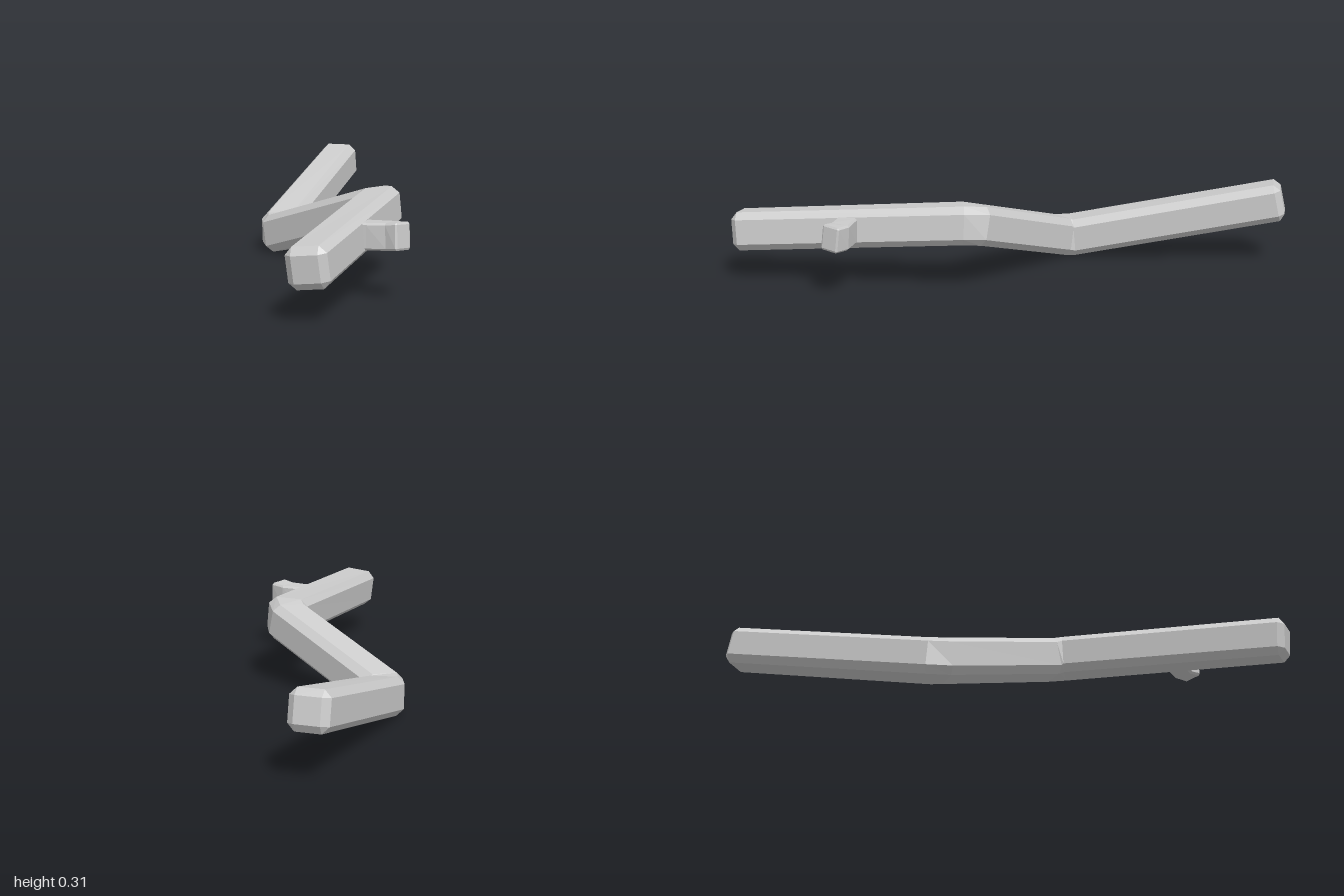
import * as THREE from 'three';

const V = (x, y, z) => new THREE.Vector3(x, y, z);

// Square with chamfered corners, counter-clockwise, always eight points
function section(w, h, c) {
  return [
    [w, -h + c], [w, h - c], [w - c, h], [-w + c, h],
    [-w, h - c], [-w, -h + c], [-w + c, -h], [w - c, -h],
  ];
}

// Sweep a chamfered bar along points; both ends taper by a bevel.
// Each entry: [position, roll in degrees]
function bar(path, w, h, c, bevel) {
  const pts = path.map(p => p[0]);
  const n = pts.length;
  const rings = [];
  const addRing = (centre, t, rollDeg, shape, miter) => {
    const side = V(0, 1, 0).cross(t).normalize();
    const up = t.clone().cross(side);
    const roll = THREE.MathUtils.degToRad(rollDeg);
    const cs = Math.cos(roll), sn = Math.sin(roll);
    rings.push(shape.map(([a, b]) => centre.clone()
      .addScaledVector(side, (a * cs - b * sn) * miter)
      .addScaledVector(up, a * sn + b * cs)));
  };
  const full = section(w, h, c);
  const tip = section(w - c, h - c, 0);
  for (let i = 0; i < n; i++) {
    const before = pts[i].clone().sub(pts[Math.max(i - 1, 0)]).normalize();
    const after = pts[Math.min(i + 1, n - 1)].clone().sub(pts[i]).normalize();
    const t = before.clone().add(after).normalize();
    const roll = path[i][1];
    const inner = i > 0 && i < n - 1;
    if (i === 0) {
      addRing(pts[i], t, roll, tip, 1);
      addRing(pts[i].clone().addScaledVector(t, bevel), t, roll, full, 1);
    } else if (inner) {
      addRing(pts[i], t, roll, full, 1 / t.dot(after));
    } else {
      addRing(pts[i].clone().addScaledVector(t, -bevel), t, roll, full, 1);
      addRing(pts[i], t, roll, tip, 1);
    }
  }

  const pos = [];
  const tri = (a, b, d) => {
    const area = b.clone().sub(a).cross(d.clone().sub(a)).length();
    if (area > 1e-9) pos.push(...a.toArray(), ...b.toArray(), ...d.toArray());
  };
  for (let r = 0; r < rings.length - 1; r++) {
    for (let j = 0; j < 8; j++) {
      const k = (j + 1) % 8;
      tri(rings[r][j], rings[r][k], rings[r + 1][k]);
      tri(rings[r][j], rings[r + 1][k], rings[r + 1][j]);
    }
  }
  const first = rings[0], last = rings[rings.length - 1];
  for (let j = 1; j < 7; j++) {
    tri(first[0], first[j + 1], first[j]);
    tri(last[0], last[j], last[j + 1]);
  }
  const geo = new THREE.BufferGeometry();
  geo.setAttribute('position', new THREE.Float32BufferAttribute(pos, 3));
  geo.computeVertexNormals();
  return geo;
}

export function createModel() {
  const group = new THREE.Group();
  group.name = 'branch';
  const material = new THREE.MeshStandardMaterial({ color: 0xcccccc, flatShading: true });
  const add = (name, geo) => {
    const mesh = new THREE.Mesh(geo, material);
    mesh.name = name;
    group.add(mesh);
  };

  // Zigzag limb, back to front, two rings at each elbow
  add('limb', bar([
    [V(-0.275, 0.25, -0.987), 0],
    [V(-0.306, 0.077, -0.2), 1],
    [V(-0.288, 0.079, -0.157), 3],
    [V(0.146, 0.238, 0.108), 4],
    [V(0.168, 0.246, 0.155), 5],
    [V(0.132, 0.184, 0.994), 6],
  ], 0.07, 0.07, 0.025, 0.022));

  // Short twig growing out of the left side and bending forward
  add('twig', bar([
    [V(0.15, 0.22, 0.56), 0],
    [V(0.23, 0.221, 0.565), 0],
    [V(0.305, 0.223, 0.573), -2],
    [V(0.352, 0.228, 0.598), -4],
  ], 0.037, 0.046, 0.007, 0.004));

  return group;
}
